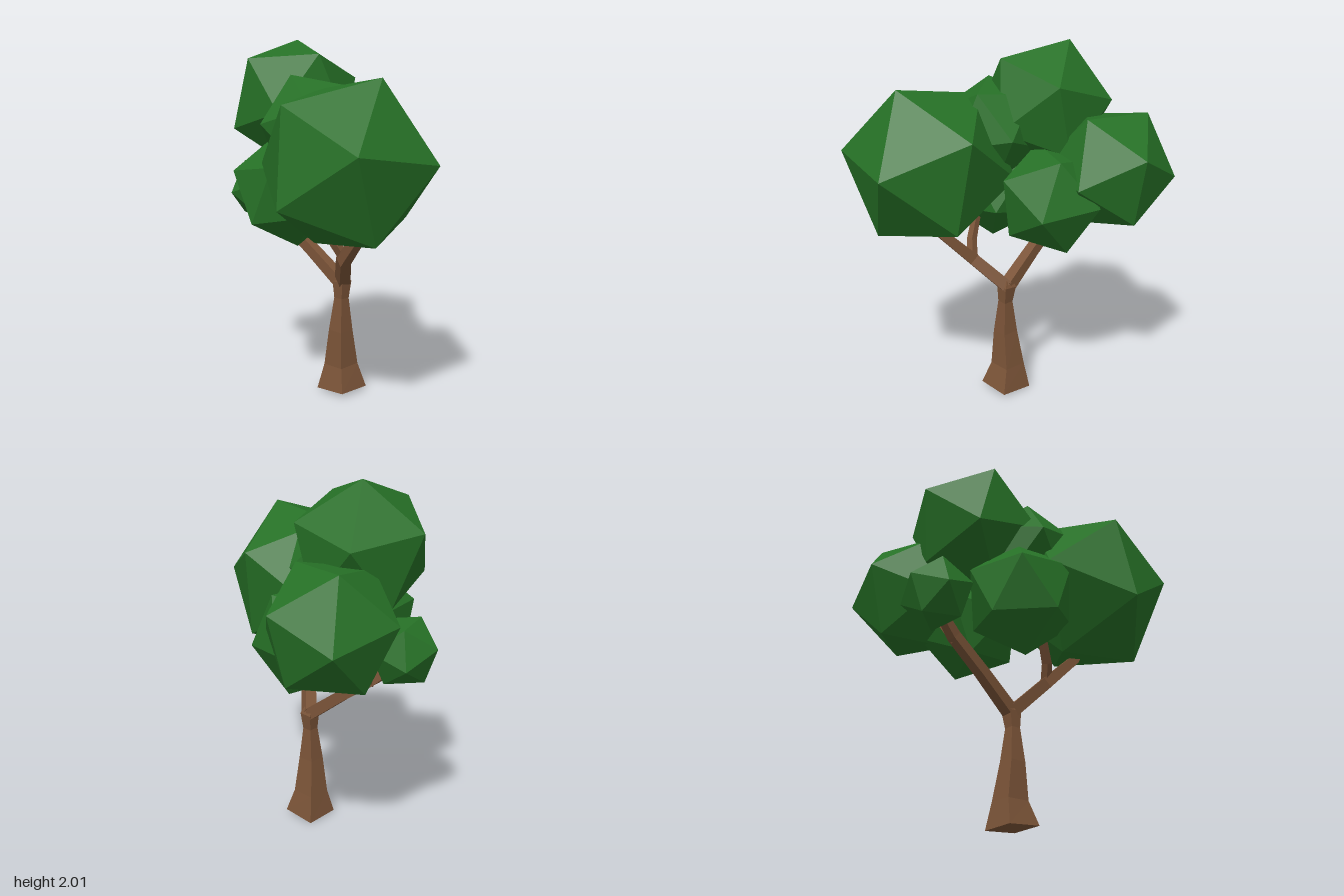
import * as THREE from 'three';

const bark = new THREE.MeshStandardMaterial({ color: 0x7b5438, flatShading: true });
const leaf = new THREE.MeshStandardMaterial({ color: 0x267026, flatShading: true });
const vec = (p) => new THREE.Vector3(p[0], p[1], p[2]);

// Square-section limb through sections [x, y, z, halfWidth], capped at both ends
function limb(name, sections, side) {
  const rings = sections.map((s, i) => {
    const before = vec(sections[Math.max(i - 1, 0)]);
    const after = vec(sections[Math.min(i + 1, sections.length - 1)]);
    const t = after.sub(before).normalize();
    const u = vec(side).addScaledVector(t, -vec(side).dot(t)).normalize();
    const v = t.clone().cross(u);
    return [[-1, -1], [1, -1], [1, 1], [-1, 1]].map(([a, b]) =>
      vec(s).addScaledVector(u, a * s[3]).addScaledVector(v, b * s[3]));
  });
  const points = [];
  const quad = (a, b, c, d) => points.push(a, b, c, a, c, d);
  for (let i = 0; i < rings.length - 1; i++) {
    for (let k = 0; k < 4; k++) {
      const n = (k + 1) % 4;
      quad(rings[i][k], rings[i][n], rings[i + 1][n], rings[i + 1][k]);
    }
  }
  const first = rings[0], last = rings[rings.length - 1];
  quad(first[3], first[2], first[1], first[0]);
  quad(last[0], last[1], last[2], last[3]);
  const geometry = new THREE.BufferGeometry().setFromPoints(points);
  geometry.computeVertexNormals();
  const mesh = new THREE.Mesh(geometry, bark);
  mesh.name = name;
  return mesh;
}

// Icosahedron leaf clump, turned so that two neighbouring corners point along a and b
function clump(name, center, radius, a, b) {
  const p = vec(a).normalize(), q = vec(b).normalize();
  const y = p.clone().add(q).normalize();
  const x = q.clone().sub(p).normalize();
  const z = x.clone().cross(y);
  const geometry = new THREE.IcosahedronGeometry(radius, 0);
  geometry.applyMatrix4(new THREE.Matrix4().makeBasis(x, y, z));
  const mesh = new THREE.Mesh(geometry, leaf);
  mesh.position.copy(vec(center));
  mesh.name = name;
  return mesh;
}

export function createModel() {
  const tree = new THREE.Group();
  tree.name = 'tree';

  // Trunk with flared foot
  tree.add(limb('trunk', [
    [0.018, 0, 0.02, 0.1],
    [0.023, 0.14, 0.01, 0.068],
    [0.012, 0.35, 0.017, 0.048],
    [0.015, 0.54, 0.02, 0.029],
    [0.022, 0.635, 0.018, 0.038],
    [0.02, 0.67, 0.012, 0.026],
  ], [1, 0, 0.08]));

  // Branches and twigs
  tree.add(limb('backBranch', [
    [0.022, 0.635, 0.01, 0.034],
    [0.015, 0.8, -0.21, 0.03],
    [0.01, 0.945, -0.42, 0.028],
    [-0.01, 1.06, -0.55, 0.02],
  ], [1, 0, 0]));
  tree.add(limb('backTwig', [
    [0.01, 0.92, -0.4, 0.022],
    [0.08, 1.02, -0.415, 0.02],
    [0.28, 1.24, -0.42, 0.014],
  ], [0, 0, 1]));
  tree.add(limb('frontBranch', [
    [0.025, 0.635, 0.02, 0.034],
    [-0.12, 0.8, 0.145, 0.032],
    [-0.185, 0.97, 0.31, 0.026],
    [-0.24, 1.15, 0.38, 0.018],
  ], [1, 0, 0.3]));
  tree.add(limb('frontTwig', [
    [-0.12, 0.82, 0.15, 0.022],
    [-0.16, 0.9, 0.115, 0.02],
    [-0.19, 1.0, 0.055, 0.018],
    [-0.22, 1.12, -0.03, 0.014],
  ], [1, 0, 0]));

  // Leaf clumps
  tree.add(
    clump('frontLeaves', [-0.29, 1.35, 0.305], 0.48, [0.15, 0.02, 0.46], [0.01, 0.43, 0.22]),
    clump('topLeaves', [0, 1.64, -0.31], 0.383, [0.105, 0.355, -0.08], [0.29, 0.14, 0.21]),
    clump('leftLeaves', [0.39, 1.32, -0.415], 0.365, [0.13, 0.3, -0.15], [0.325, 0.11, 0.115]),
    clump('lowerLeftLeaves', [0.215, 1.17, -0.14], 0.314, [0.165, -0.05, 0.26], [0.16, 0.245, 0.12]),
    clump('lowerRightLeaves', [-0.23, 1.18, -0.15], 0.32, [-0.235, 0.11, -0.23], [-0.295, -0.17, -0.02]),
    clump('backLeaves', [-0.02, 1.13, -0.57], 0.2, [-0.02, 0.035, -0.19], [0.165, -0.06, -0.14]),
    clump('middleLeaves', [-0.15, 1.52, -0.05], 0.3, [-0.105, 0.27, -0.08], [0.085, 0.205, 0.2]),
  );
  return tree;
}
